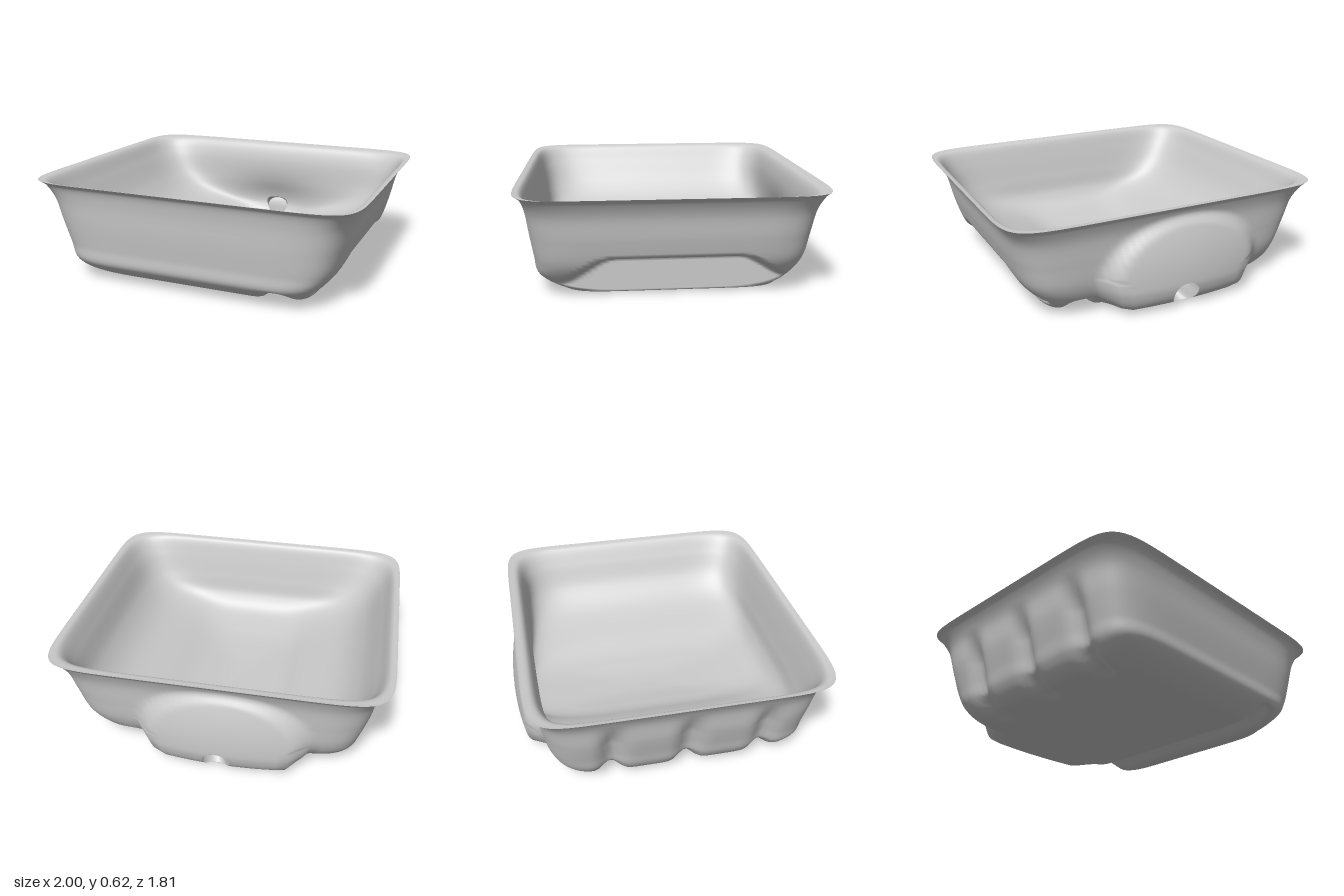
import * as THREE from 'three';

const SIDE = 48, AROUND = SIDE * 4, ROWS = 90;      // grid around the tub and down its wall
const HOLE = { i: 23, j: 52, half: 4, reach: 14 };  // drain opening, in grid cells on the back

const { lerp, smoothstep: step } = THREE.MathUtils;
const bell = (d) => Math.exp(-d * d);

// Profile rows from the rim to the middle of the floor:
// [reach to -x, reach to +x, height, reach to +z, reach to -z, squareness]
const outerRows = [
  [1, 1, 0.62, 0.905, 0.865, 10],
  [0.965, 0.965, 0.585, 0.87, 0.84, 10],
  [0.925, 0.925, 0.5, 0.85, 0.81, 9],
  [0.9, 0.895, 0.36, 0.835, 0.79, 8],
  [0.86, 0.85, 0.22, 0.815, 0.765, 8],
  [0.83, 0.78, 0.12, 0.8, 0.72, 8],
  [0.77, 0.71, 0.04, 0.7, 0.65, 8],
  [0.68, 0.66, 0.01, 0.6, 0.58, 8],
  [0.4, 0.4, 0.005, 0.35, 0.35, 8],
  [0, 0, 0.005, 0, 0, 8],
];
const innerRows = [
  [1, 1, 0.62, 0.905, 0.865, 10],
  [0.955, 0.955, 0.6, 0.865, 0.8, 9],
  [0.9, 0.9, 0.5, 0.835, 0.765, 8],
  [0.8, 0.82, 0.34, 0.8, 0.755, 7],
  [0.66, 0.68, 0.22, 0.77, 0.75, 6],
  [0.42, 0.44, 0.13, 0.69, 0.74, 5],
  [0.3, 0.3, 0.08, 0.52, 0.71, 5],
  [0.2, 0.2, 0.06, 0.4, 0.58, 5],
  [0.1, 0.1, 0.045, 0.2, 0.3, 5],
  [0, 0, 0.04, 0, 0, 5],
];

// Smooth surface through the rows; (p, q) is a point on the edge of a unit square
function makeSurface(rows, deform) {
  const curve = (k) => new THREE.CatmullRomCurve3(
    rows.map((r) => new THREE.Vector3(r[k], r[k + 1], r[k + 2])), false, 'catmullrom', 0.5);
  const a = curve(0), b = curve(3);
  return (p, q, t) => {
    const A = a.getPoint(t), B = b.getPoint(t);
    const s = (Math.abs(p) ** B.z + Math.abs(q) ** B.z) ** (-1 / B.z);
    const v = new THREE.Vector3(p * s * (p < 0 ? A.x : A.y), A.z, q * s * (q > 0 ? B.x : B.y));
    deform(v);
    v.y = Math.max(0, v.y);
    return v;
  };
}

function shapeOuter(v) {
  const { x, y, z } = v;
  // Long groove under the +x side
  v.y += 0.085 * bell((x - 0.52) / 0.06) * (1 - step(y, 0.05, 0.12));
  // Recessed panel low on the +x wall, its upper edge dropping at both ends
  if (x > 0.7) {
    const top = 0.27 - 0.16 * step(Math.abs(z), 0.36, 0.7);
    const w = (1 - step(y, top - 0.06, top)) * (1 - step(Math.abs(z), 0.62, 0.76));
    v.x = lerp(x, 0.7, w);
  }
  // Three upright flutes in the -x wall
  for (const zk of [-0.4, 0.05, 0.5]) {
    const w = bell((z - zk) / 0.06) * step(-x, 0.55, 0.72) * (1 - step(y, 0.32, 0.54));
    v.x += 0.06 * w;
    v.y += 0.035 * w * (1 - step(y, 0.05, 0.15));
  }
  // Domed swelling on the back
  if (z < -0.4) {
    const d = ((x + 0.06) / 0.5) ** 2 + ((y - 0.22) / 0.34) ** 2;
    const w = (1 - step(d, 0.7, 1.15)) * step(-z, 0.5, 0.75);
    v.z = lerp(z, -0.905 + 0.06 * d, w);
    v.y -= 0.03 * w * (1 - step(y, 0.05, 0.14));
  }
}

function shapeInner(v) {
  // Hollow leading to the drain
  const d = Math.hypot((v.x + 0.04) / 0.34, (v.y - 0.15) / 0.17);
  v.z -= 0.09 * bell(d) * step(-v.z, 0.5, 0.74);
}

// Grid of points round the tub, opened into an ellipse at the drain
function makeGrid(surface, rp, rt) {
  const pc = -1 + (2 * HOLE.i) / SIDE, tc = HOLE.j / ROWS;
  const grid = [];
  for (let j = 0; j <= ROWS; j++) {
    for (let i = 0; i < AROUND; i++) {
      const side = Math.floor(i / SIDE), e = -1 + (2 * (i % SIDE)) / SIDE;
      let [p, q] = [[e, -1], [1, e], [-e, 1], [-1, -e]][side];
      let t = j / ROWS;
      const di = i - HOLE.i, dj = j - HOLE.j, m = Math.max(Math.abs(di), Math.abs(dj));
      if (m < HOLE.reach) {
        const k = Math.max(0, (m - HOLE.half) / (HOLE.reach - HOLE.half));
        const ang = Math.atan2(dj, di);
        p = lerp(pc + rp * Math.cos(ang), p, k);
        t = lerp(tc + rt * Math.sin(ang), t, k);
      }
      grid.push(surface(p, q, t));
    }
  }
  return grid;
}

function meshFrom(name, points, index, material) {
  const g = new THREE.BufferGeometry().setFromPoints(points);
  g.setIndex(index);
  g.computeVertexNormals();
  const mesh = new THREE.Mesh(g, material);
  mesh.name = name;
  return mesh;
}

function shellIndex(inward) {
  const index = [];
  for (let j = 0; j < ROWS; j++) {
    for (let i = 0; i < AROUND; i++) {
      const off = Math.max(Math.abs(i + 0.5 - HOLE.i), Math.abs(j + 0.5 - HOLE.j));
      if (off < HOLE.half) continue;
      const n = (i + 1) % AROUND;
      const a = j * AROUND + i, b = j * AROUND + n, c = b + AROUND, d = a + AROUND;
      if (inward) index.push(a, d, b, b, d, c);
      else index.push(a, b, d, b, c, d);
    }
  }
  return index;
}

// Grid indices round the edge of the drain opening
function holeRing() {
  const h = HOLE.half, ring = [];
  const add = (di, dj) => ring.push((HOLE.j + dj) * AROUND + HOLE.i + di);
  for (let k = -h; k < h; k++) add(k, -h);
  for (let k = -h; k < h; k++) add(h, k);
  for (let k = h; k > -h; k--) add(k, h);
  for (let k = h; k > -h; k--) add(-h, k);
  return ring;
}

export function createModel() {
  const group = new THREE.Group();
  group.name = 'basin';
  const material = new THREE.MeshStandardMaterial({ color: 0xcccccc, side: THREE.DoubleSide });

  const outer = makeGrid(makeSurface(outerRows, shapeOuter), 0.1, 0.085);
  const inner = makeGrid(makeSurface(innerRows, shapeInner), 0.19, 0.12);
  group.add(meshFrom('outerShell', outer, shellIndex(false), material));
  group.add(meshFrom('innerBowl', inner, shellIndex(true), material));

  // Short passage joining the two skins at the drain
  const ring = holeRing(), n = ring.length, index = [];
  const points = [...ring.map((k) => outer[k]), ...ring.map((k) => inner[k])];
  for (let k = 0; k < n; k++) {
    const m = (k + 1) % n;
    index.push(k, m, n + k, m, n + m, n + k);
  }
  group.add(meshFrom('drainPassage', points, index, material));
  return group;
}
